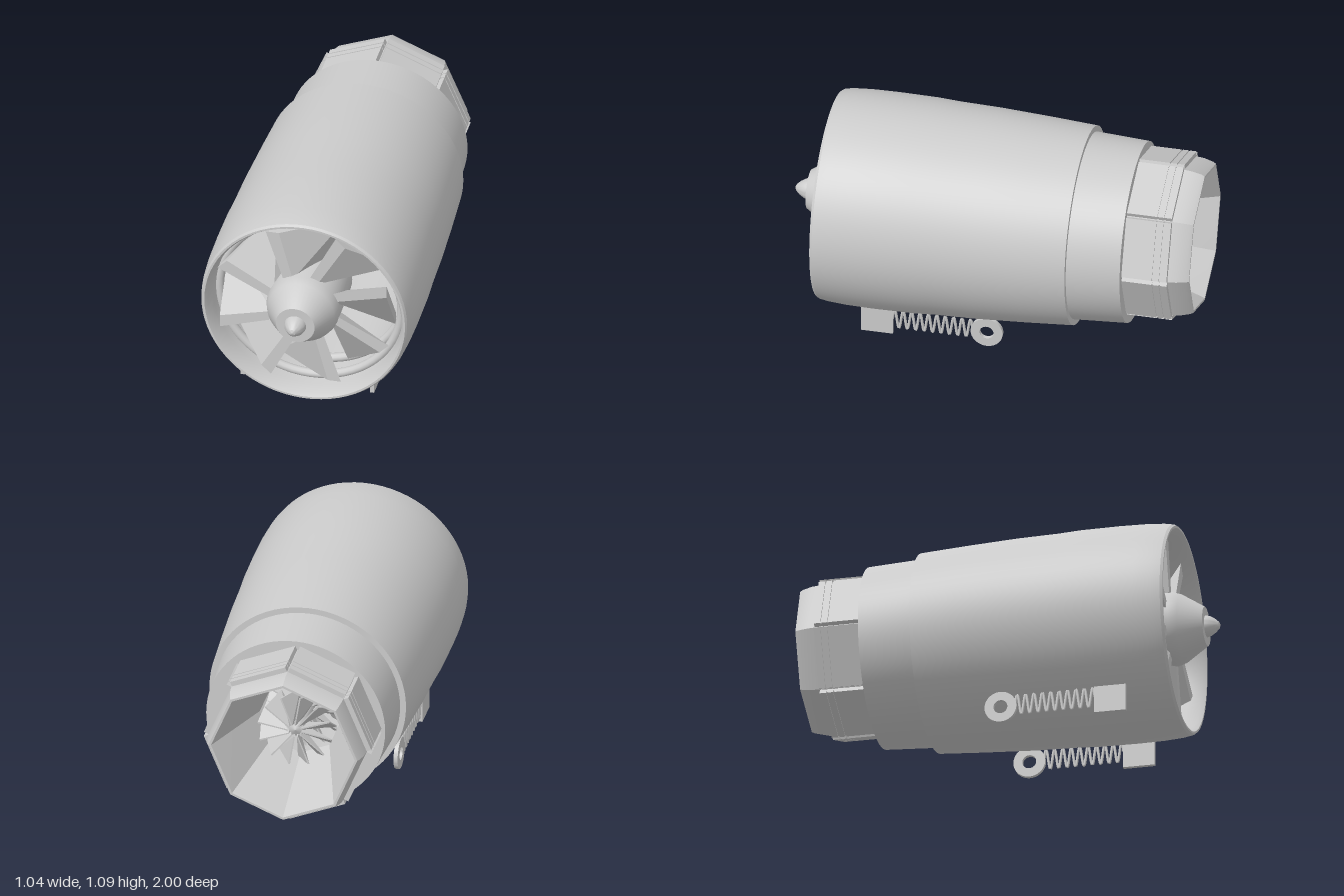
import * as THREE from 'three';
import { toCreasedNormals } from 'three/addons/utils/BufferGeometryUtils.js';

const CY = 0.567; // height of the engine axis
const mat = new THREE.MeshStandardMaterial({ color: 0xcccccc });
const thin = new THREE.MeshStandardMaterial({ color: 0xcccccc, side: THREE.DoubleSide });

function add(parent, name, geo, material = mat) {
  const m = new THREE.Mesh(geo, material);
  m.name = name;
  parent.add(m);
  return m;
}

// Lathe around z from [radius, z] pairs; rising z faces outward
function turned(points, sides, crease = 0.4) {
  const g = new THREE.LatheGeometry(points.map(([r, z]) => new THREE.Vector2(r, z)), sides);
  g.rotateX(Math.PI / 2);
  return toCreasedNormals(g, crease);
}

// Box bent by a rule: chord and lean change from root to tip
function bladeGeometry({ r0, r1, root, tip, edge, zFront, zBack }) {
  const g = new THREE.BoxGeometry(1, 1, 1).toNonIndexed();
  const p = g.attributes.position;
  for (let i = 0; i < p.count; i++) {
    const outer = p.getY(i) > 0, front = p.getZ(i) > 0, right = p.getX(i) > 0;
    const [a, b] = outer ? tip : root;
    const strip = outer ? edge : edge * 0.75;
    const x = front ? a + (right ? strip : 0) : b - (right ? 0 : strip);
    p.setXYZ(i, x, outer ? r1 : r0, front ? zFront : zBack);
  }
  g.computeVertexNormals();
  return g;
}

function bladeRow(parent, name, count, spec, phase = 0) {
  const row = new THREE.Group();
  row.name = name;
  const geo = bladeGeometry(spec);
  for (let i = 0; i < count; i++) {
    add(row, 'blade', geo, thin).rotation.z = phase + (i / count) * Math.PI * 2;
  }
  parent.add(row);
}

// Flat side fitting: square plate, wavy spring and eyelet
function springMount(x) {
  const g = new THREE.Group();
  g.name = 'springMount';
  g.position.x = x;
  add(g, 'plate', new THREE.BoxGeometry(0.02, 0.135, 0.155)).position.set(0, 0.072, 0.535);

  const pts = [];
  const turns = 9.5, steps = 152;
  for (let i = 0; i <= steps; i++) {
    const t = i / steps;
    const a = t * turns * Math.PI * 2;
    pts.push(new THREE.Vector3(0, 0.087 + 0.05 * Math.sin(a), 0.46 - 0.39 * t));
  }
  add(g, 'spring', new THREE.TubeGeometry(new THREE.CatmullRomCurve3(pts), 300, 0.007, 6));

  const ring = new THREE.Shape().absarc(0, 0, 0.078, 0, Math.PI * 2);
  ring.holes.push(new THREE.Path().absarc(0, 0, 0.034, 0, Math.PI * 2, true));
  const eye = new THREE.ExtrudeGeometry(ring, { depth: 0.02, bevelEnabled: false, curveSegments: 24 });
  eye.translate(0, 0, -0.01).rotateY(Math.PI / 2);
  add(g, 'eyelet', toCreasedNormals(eye, 0.5)).position.set(0, 0.08, 0);
  return g;
}

export function createModel() {
  const model = new THREE.Group();
  model.name = 'jetEngine';

  // Stepped cowling with rolled intake lip and inner duct
  const cowling = new THREE.Group();
  cowling.name = 'cowling';
  cowling.position.set(0.01, CY, 0);
  model.add(cowling);
  add(cowling, 'shell', turned([
    [0.34, -0.68], [0.438, -0.68], [0.452, -0.42], [0.481, -0.42], [0.495, -0.2],
    [0.508, 0.05], [0.513, 0.25], [0.519, 0.36], [0.521, 0.55], [0.519, 0.68],
    [0.513, 0.77], [0.506, 0.81], [0.498, 0.822], [0.488, 0.822], [0.476, 0.8],
    [0.465, 0.74], [0.455, 0.6], [0.44, 0.2], [0.38, -0.68],
  ], 72));
  [[0.447, 0.68], [0.435, 0.56]].forEach(([r, z]) => {
    add(cowling, 'ductRing', new THREE.TorusGeometry(r, 0.022, 12, 64)).position.z = z;
  });

  // Spinner, hub and shaft
  const core = new THREE.Group();
  core.name = 'core';
  core.position.set(-0.005, CY, 0);
  model.add(core);
  add(core, 'spinner', turned([
    [0, -0.76], [0.04, -0.74], [0.05, 0.35], [0.175, 0.5], [0.178, 0.78], [0.165, 0.82],
    [0.095, 0.93], [0.053, 0.93], [0.048, 0.95], [0.033, 0.975], [0.016, 0.993], [0, 1],
  ], 40));

  // Wide intake fan, then narrow rotors along the shaft
  bladeRow(core, 'intakeFan', 8, {
    r0: 0.15, r1: 0.41, root: [-0.1, 0.06], tip: [-0.185, 0.165],
    edge: 0.065, zFront: 0.77, zBack: 0.58,
  });
  [-0.3, -0.5, -0.72].forEach((z, i) => bladeRow(core, 'rearRotor', 12, {
    r0: 0.03, r1: 0.2 - 0.01 * i, root: [-0.012, 0.012], tip: [-0.04, 0.04],
    edge: 0.008, zFront: z + 0.05, zBack: z - 0.05,
  }, i * 0.17));

  // Eight-sided nozzle with funnel inside
  const nozzle = new THREE.Group();
  nozzle.name = 'nozzle';
  nozzle.position.set(0, CY + 0.004, 0);
  model.add(nozzle);
  add(nozzle, 'funnel', turned([
    [0.2, -0.62], [0.345, -0.985], [0.352, -1], [0.364, -1], [0.372, -0.985],
    [0.384, -0.94], [0.388, -0.9], [0.39, -0.67],
  ], 8, 0.6));

  // Outer petals, each in bands split by narrow grooves
  const apothem = 0.383;
  for (let i = 0; i < 8; i++) {
    const petal = new THREE.Group();
    petal.name = 'nozzlePetal';
    petal.rotation.z = (i + 0.5) * Math.PI / 4;
    [[-0.67, -0.828], [-0.834, -0.862], [-0.868, -0.9]].forEach(([a, b]) => {
      const band = add(petal, 'petalBand', new THREE.BoxGeometry(0.292, 0.032, a - b));
      band.position.set(0, apothem - 0.016, (a + b) / 2);
    });
    add(petal, 'petalBacking', new THREE.BoxGeometry(0.286, 0.022, 0.22))
      .position.set(0, apothem - 0.017, -0.785);
    nozzle.add(petal);
  }

  // Paired side fittings
  model.add(springMount(-0.342), springMount(0.295));
  return model;
}
